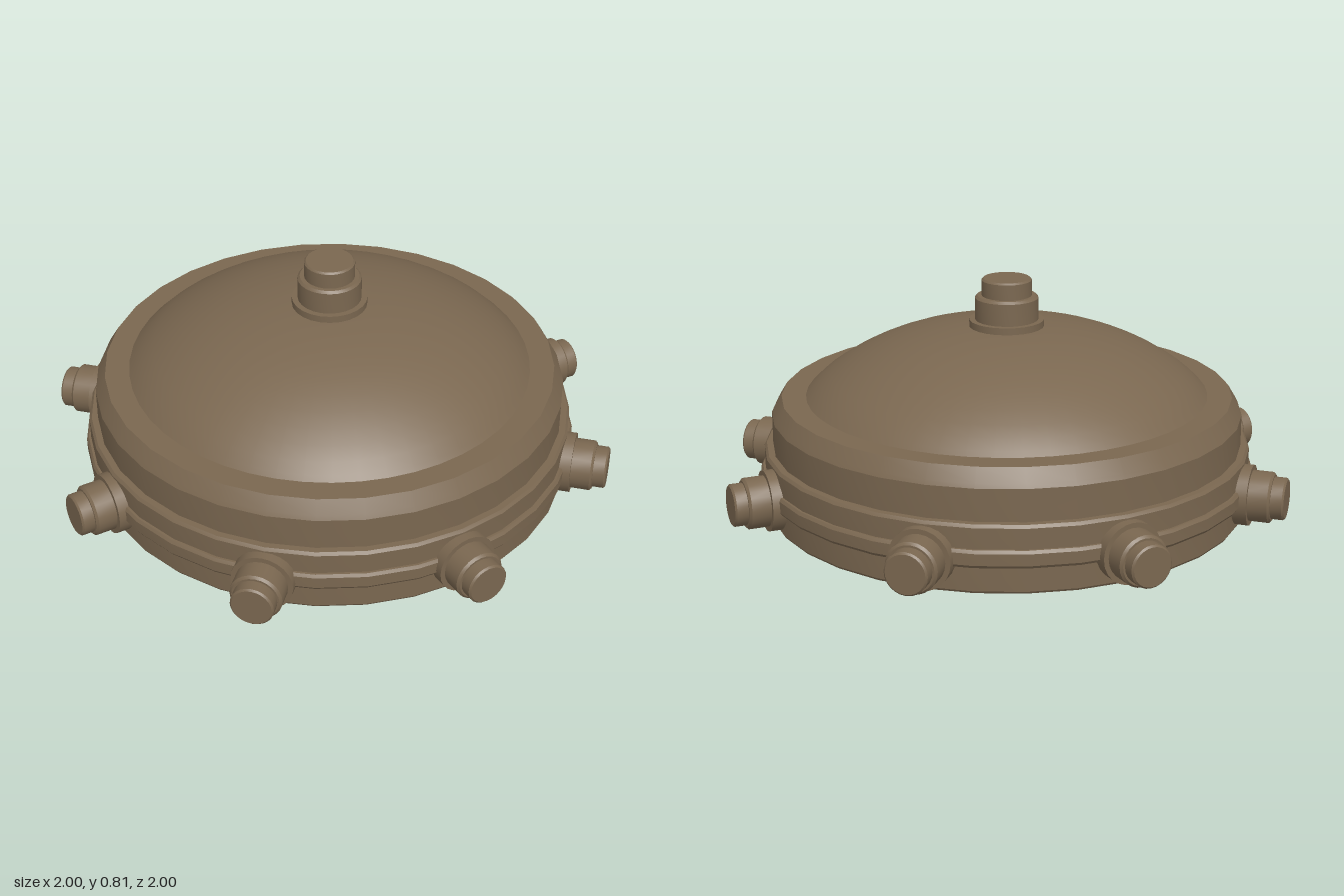
import * as THREE from 'three';
import { toCreasedNormals } from 'three/addons/utils/BufferGeometryUtils.js';

const bronze = new THREE.MeshStandardMaterial({ color: 0x7a6750 });
bronze.name = 'bronze';

// Turn a profile of [radius, height] pairs, listed bottom to top
function turned(name, profile, sides) {
  const points = profile.map(([r, y]) => new THREE.Vector2(r, y));
  const geometry = toCreasedNormals(new THREE.LatheGeometry(points, sides), 0.45);
  const mesh = new THREE.Mesh(geometry, bronze);
  mesh.name = name;
  return mesh;
}

// Stepped stud: flange, body and cap, pointing up from its base
function stud(name, [flange, body, cap], [h0, h1, h2, h3]) {
  return turned(name, [
    [flange, h0], [flange, h1], [body, h1],
    [body, h2 - 0.008], [body - 0.008, h2], [cap, h2],
    [cap, h3 - 0.006], [cap - 0.006, h3], [0, h3],
  ], 24);
}

export function createModel() {
  const model = new THREE.Group();
  model.name = 'studdedDome';

  // Hollow base with its stepped rim
  model.add(turned('base', [
    [0, 0.177], [0.69, 0.177], [0.69, 0],
    [0.835, 0], [0.84, 0.008], [0.84, 0.095],
    [0.858, 0.095], [0.865, 0.105], [0.865, 0.145], [0.858, 0.155],
    [0.85, 0.155], [0.85, 0.225], [0.842, 0.235],
    [0.82, 0.235], [0.82, 0.345], [0.812, 0.36], [0.785, 0.405], [0.69, 0.405],
  ], 32));

  // Shallow dome on top
  const curve = new THREE.SplineCurve([
    [0.705, 0.4], [0.64, 0.462], [0.53, 0.532], [0.4, 0.588],
    [0.26, 0.624], [0.13, 0.641], [0, 0.645],
  ].map(([r, y]) => new THREE.Vector2(r, y)));
  const arc = curve.getPoints(14).map((p) => [Math.max(p.x, 0), p.y]);
  model.add(turned('dome', arc, 48));

  // Stud at the crown
  model.add(stud('crownStud', [0.13, 0.11, 0.087], [0.62, 0.665, 0.75, 0.81]));

  // Studs around the rim; the back left one sits slightly off the even spacing
  for (const degrees of [0, 45, 90, 135, 180, 225, 270, 320]) {
    const holder = new THREE.Group();
    holder.name = 'rimStudHolder';
    const rimStud = stud('rimStud', [0.105, 0.088, 0.073], [0.78, 0.88, 0.955, 1]);
    rimStud.rotation.z = -Math.PI / 2;
    holder.add(rimStud);
    holder.position.y = 0.115;
    holder.rotation.y = -THREE.MathUtils.degToRad(degrees);
    model.add(holder);
  }

  // Studs hanging inside the hollow: one in the centre, four around it
  const addInner = (x, z) => {
    const inner = stud('innerStud', [0.13, 0.11, 0.087], [-0.01, 0.025, 0.11, 0.17]);
    inner.rotation.x = Math.PI;
    inner.position.set(x, 0.177, z);
    model.add(inner);
  };
  addInner(0, 0);
  for (let i = 0; i < 4; i++) {
    const a = i * Math.PI / 2 - 0.09;
    addInner(0.42 * Math.cos(a), 0.42 * Math.sin(a));
  }
  return model;
}
